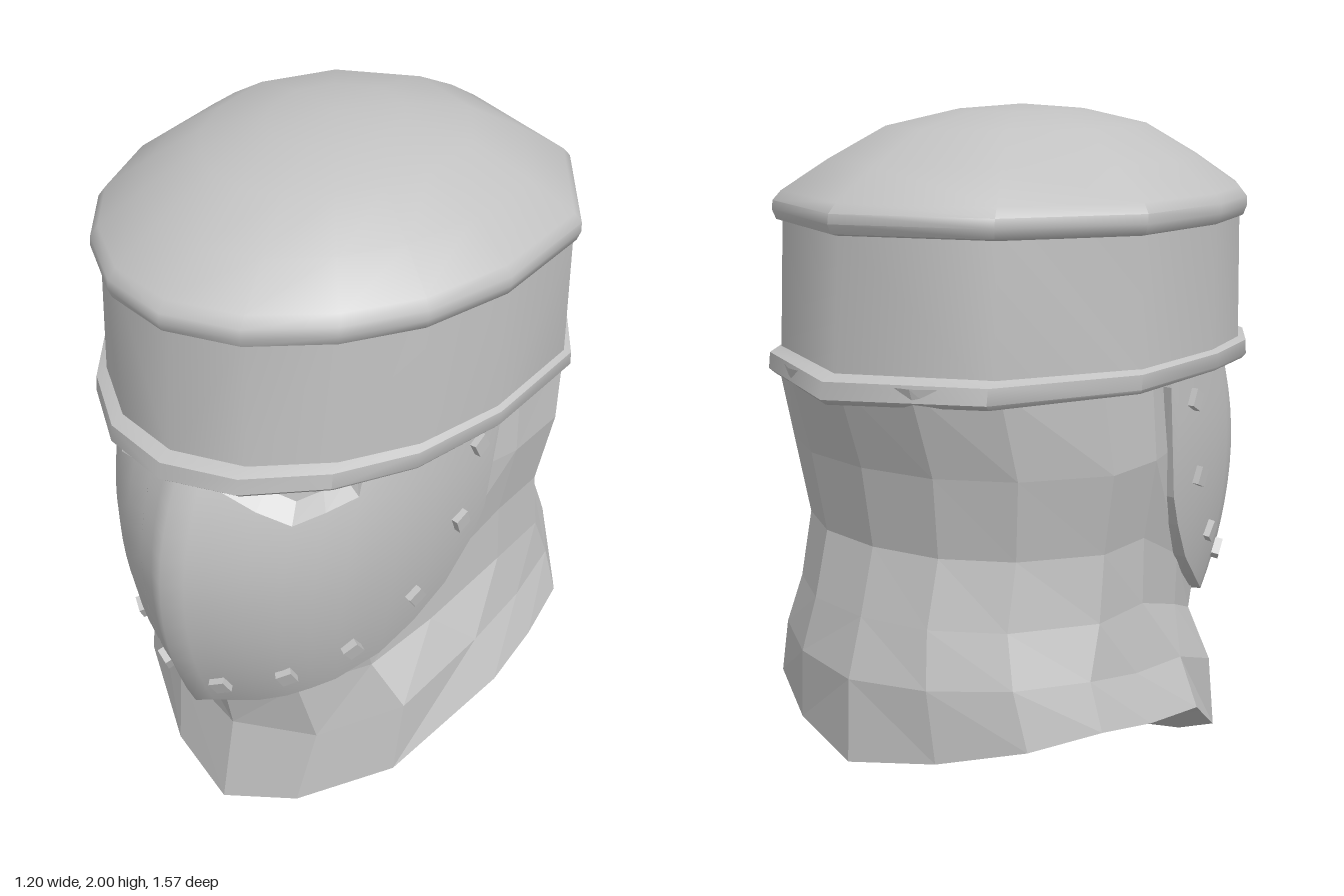
import * as THREE from 'three';
import { toCreasedNormals } from 'three/addons/utils/BufferGeometryUtils.js';

// Half outline [x, ...] from front to back, mirrored into a closed ring
const mirrorRing = (half) => [...half, ...half.slice(1, -1).reverse().map((p) => [-p[0], ...p.slice(1)])];

// Skin closed rings of [x, y, z] points, listed from bottom to top
function loft(rings) {
  const n = rings[0].length, index = [];
  for (let j = 0; j < rings.length - 1; j++) {
    for (let i = 0; i < n; i++) {
      const k = (i + 1) % n, a = j * n + i, b = j * n + k, c = b + n, d = a + n;
      // the diagonals mirror from side to side
      if (i < n / 2) index.push(a, b, c, a, c, d);
      else index.push(a, b, d, b, c, d);
    }
  }
  const g = new THREE.BufferGeometry();
  g.setAttribute('position', new THREE.Float32BufferAttribute(rings.flat(2), 3));
  g.setIndex(index);
  return g;
}

function flat(g) {
  const f = g.toNonIndexed();
  f.computeVertexNormals();
  return f;
}

// ---- helm ----
const HELM = mirrorRing([[0, 0.72], [0.2, 0.67], [0.38, 0.53], [0.51, 0.35], [0.59, 0.1], [0.6, -0.24], [0.39, -0.57], [0, -0.74]]);

// Profile entries: [x scale, z scale, y, lift at the sides]
const helmPart = (profile) => toCreasedNormals(loft(profile.map(([sx, sz, y, lift = 0]) =>
  HELM.map(([x, z]) => [x * sx, y + lift * (1 - Math.abs(z) / 0.74), z * sz]))), 0.85);

// ---- face plate surface: angle t around the face, height y ----
function plate(t, y, inset = 0) {
  const b = 0.81 - (y > 0.92 ? 0.8 : 0.57) * (y - 0.92) ** 2 - inset;
  const a = 0.528 - 0.23 * Math.max(0, 1.2 - y) ** 2 - inset;
  // flattened cheeks leave a soft nose ridge
  const cheek = 0.043 * Math.sin(Math.PI * Math.min(1, Math.abs(t)) ** 0.7);
  return new THREE.Vector3(a * Math.sin(t), y, b * Math.cos(t) - 0.02 - cheek);
}
function plateNormal(t, y) {
  const e = 0.03;
  const dt = plate(t + e, y).sub(plate(t - e, y));
  const dy = plate(t, y + e).sub(plate(t, y - e));
  return dt.cross(dy).normalize();
}

// Columns: [degrees, bottom y, top y, inner degrees, inner top y]
// The lowered tops cut the eye openings, whose walls slope inward
const HALF_COLS = [
  [0, 0.475, 1.33], [6, 0.48, 1.33], [12, 0.485, 1.33, 16, 1.33], [12, 0.485, 1.24, 16, 1.26],
  [22, 0.493, 1.2, 23, 1.235], [32, 0.515, 1.165, 32, 1.205], [40, 0.54, 1.195, 39, 1.23],
  [48, 0.56, 1.225, 45, 1.25], [48, 0.56, 1.33, 45, 1.33], [61, 0.61, 1.33],
  [70, 0.68, 1.33], [78, 0.765, 1.33], [84, 0.88, 1.33], [87, 0.97, 1.33], [90, 1.28, 1.33],
].map(([d, b, t, di = d, ti = t]) => [d, b, t, di, ti]);

function facePlate(material) {
  const cols = [...HALF_COLS.slice(1).reverse().map(([d, b, t, di, ti]) => [-d, b, t, -di, ti]), ...HALF_COLS];
  const R = 12, pos = [], nor = [], outer = [], inner = [], innerIndex = [];
  cols.forEach(([deg, y0, y1, innerDeg, innerY1], i) => {
    const t = THREE.MathUtils.degToRad(deg), ti = THREE.MathUtils.degToRad(innerDeg);
    for (let j = 0; j <= R; j++) {
      const y = y0 + (y1 - y0) * j / R;
      pos.push(...plate(t, y).toArray());
      nor.push(...plateNormal(t, y).toArray());
      inner.push(...plate(ti, y0 + (innerY1 - y0) * j / R, 0.04).toArray());
      if (i && j) {
        const d = i * (R + 1) + j, c = d - 1, a = c - R - 1, b = d - R - 1;
        outer.push(a, c, d, a, d, b);
      }
    }
  });
  const front = new THREE.BufferGeometry();
  front.setAttribute('position', new THREE.Float32BufferAttribute(pos, 3));
  front.setAttribute('normal', new THREE.Float32BufferAttribute(nor, 3));
  front.setIndex(outer);

  // Inside face plus the edge walls that give the plate its thickness
  const N = pos.length / 3;
  for (let k = 0; k < outer.length; k += 3) innerIndex.push(outer[k] + N, outer[k + 2] + N, outer[k + 1] + N);
  for (let i = 0; i < cols.length - 1; i++) {
    const a = i * (R + 1), b = a + R + 1, c = a + R, d = b + R;
    innerIndex.push(c, d, d + N, c, d + N, c + N);
    innerIndex.push(a, b + N, b, a, a + N, b + N);
  }
  const back = new THREE.BufferGeometry();
  back.setAttribute('position', new THREE.Float32BufferAttribute([...pos, ...inner], 3));
  back.setIndex(innerIndex);

  const group = new THREE.Group();
  group.name = 'facePlate';
  [['facePlateFront', front], ['facePlateInside', flat(back)]].forEach(([name, g]) => {
    const m = new THREE.Mesh(g, material);
    m.name = name;
    group.add(m);
  });
  return group;
}

// ---- neck guard ----
const HEM = mirrorRing([
  [0, 0, 0.58], [0.22, 0.06, 0.51], [0.45, 0.19, 0.35], [0.595, 0.38, 0.04], [0.59, 0.4, -0.17],
  [0.57, 0.43, -0.36], [0.46, 0.4, -0.53], [0.25, 0.35, -0.65], [0, 0.31, -0.72],
]);
const FLARE = mirrorRing([
  [0, 0.26, 0.52], [0.25, 0.29, 0.45], [0.455, 0.41, 0.31], [0.53, 0.51, 0.05], [0.54, 0.53, -0.17],
  [0.53, 0.56, -0.36], [0.42, 0.56, -0.54], [0.23, 0.55, -0.66], [0, 0.54, -0.71],
]);
const NECK = mirrorRing([[0, 1], [0.4, 0.86], [0.7, 0.6], [0.85, 0.27], [0.98, -0.15], [1, -0.46], [0.74, -0.78], [0.4, -0.95], [0, -1]]);

// Rows: [front y, back y, half width, front z, back z]
const NECK_ROWS = [
  [0.45, 0.7, 0.515, 0.56, 0.66], [0.52, 0.88, 0.51, 0.61, 0.61],
  [1.08, 1.1, 0.55, 0.4, 0.645], [1.34, 1.34, 0.54, 0.4, 0.725],
];

export function createModel() {
  const model = new THREE.Group();
  model.name = 'helmet';
  const steel = new THREE.MeshStandardMaterial({ color: 0xc2c2c2 });
  steel.name = 'steel grey';
  const add = (name, geometry) => {
    const mesh = new THREE.Mesh(geometry, steel);
    mesh.name = name;
    model.add(mesh);
    return mesh;
  };

  // Domed crown with its rolled edge
  add('crown', helmPart([
    [0.97, 0.96, 1.7], [0.985, 0.985, 1.705], [1, 1, 1.73], [1, 0.995, 1.755], [0.97, 0.96, 1.78],
    [0.78, 0.78, 1.86], [0.55, 0.55, 1.945], [0.28, 0.28, 1.985], [0, 0, 2],
  ]));
  // Straight wall
  add('wall', helmPart([[0.975, 0.99, 1.33], [0.975, 0.95, 1.72]]));
  // Lower brow band, closed underneath
  add('browBand', helmPart([
    [0.86, 0.86, 1.32], [0.86, 0.86, 1.29, 0.03], [0.985, 1.03, 1.285, 0.035], [1, 1.055, 1.3, 0.03],
    [1, 1.045, 1.345, 0.02], [0.97, 0.985, 1.36, 0.015],
  ]));

  // Faceted neck guard, flaring to the hem
  const rows = NECK_ROWS.map(([yf, yb, w, zf, zb]) => NECK.map(([x, z]) => {
    const k = Math.min(1, (1 - z) / 1.1);
    return [x * w, yf + (yb - yf) * k, z * (z > 0 ? zf : zb)];
  }));
  add('neckGuard', flat(loft([HEM, FLARE, ...rows])));

  // Closed underside
  const under = new THREE.BufferGeometry();
  under.setAttribute('position', new THREE.Float32BufferAttribute([...HEM.flat(), 0, 0.28, -0.12], 3));
  under.setIndex(HEM.flatMap((_, i) => [HEM.length, (i + 1) % HEM.length, i]));
  under.computeVertexNormals();
  add('underside', under);

  model.add(facePlate(steel));

  // Square rivets along the plate edge: [degrees, y, roll]
  const rivet = new THREE.BoxGeometry(0.045, 0.05, 0.035);
  const rivets = [[81, 1.23, 0.5], [78, 1.005, 0.4], [68, 0.81, 0.6], [52, 0.7, 0.6], [33, 0.635, 0.45], [12, 0.59, 0.4]];
  for (const side of [-1, 1]) {
    rivets.forEach(([deg, y, roll]) => {
      const t = side * THREE.MathUtils.degToRad(deg);
      const mesh = add(side > 0 ? 'leftRivet' : 'rightRivet', rivet);
      mesh.position.copy(plate(t, y));
      mesh.lookAt(mesh.position.clone().add(plateNormal(t, y)));
      mesh.rotateZ(side * roll);
    });
  }
  return model;
}
